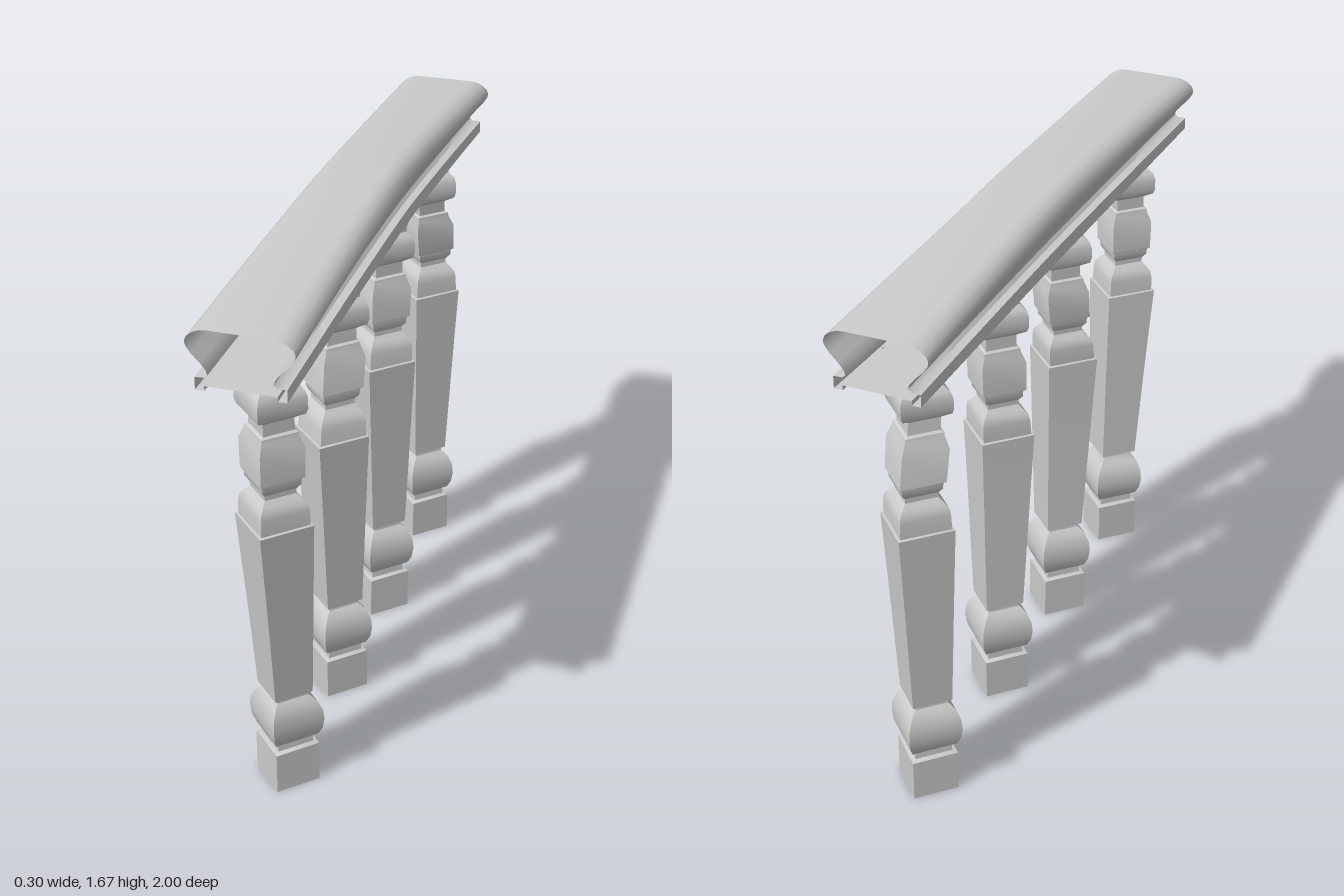
import * as THREE from 'three';
import { toCreasedNormals } from 'three/addons/utils/BufferGeometryUtils.js';

const material = new THREE.MeshStandardMaterial({ color: 0xcccccc, side: THREE.DoubleSide });

// Baluster outline, [radius, height] from foot to capital
const balusterProfile = [
  [0, 0], [0.1, 0], [0.1, 0.135], [0.082, 0.14], [0.08, 0.16],
  [0.098, 0.17], [0.112, 0.195], [0.118, 0.23], [0.114, 0.265], [0.098, 0.297], [0.072, 0.318],
  [0.07, 0.332], [0.086, 0.333], [0.1, 0.62], [0.108, 0.78], [0.117, 0.95],
  [0.107, 0.952], [0.105, 1.0], [0.1, 1.02], [0.085, 1.035], [0.068, 1.05], [0.068, 1.065],
  [0.083, 1.08], [0.085, 1.1], [0.095, 1.105], [0.097, 1.2], [0.08, 1.235], [0.078, 1.245],
  [0.067, 1.25], [0.067, 1.288], [0.08, 1.295], [0.1, 1.305], [0.106, 1.32], [0.106, 1.355],
  [0.098, 1.375], [0.078, 1.39], [0.078, 1.405], [0.088, 1.43], [0.1, 1.455], [0.1, 1.468],
];

// Lean of each baluster, [height, z] along its centre line
const leans = [
  [[0, 0.705], [0.25, 0.705], [0.33, 0.717], [0.62, 0.742], [0.95, 0.775], [1.1, 0.78]],
  [[0, 0.214], [0.33, 0.22], [0.95, 0.255], [1.05, 0.244], [1.12, 0.24], [1.2, 0.225], [1.3, 0.22]],
  [[0, -0.262], [0.33, -0.267], [0.95, -0.25], [1.05, -0.257], [1.25, -0.265]],
  [[0, -0.786], [0.33, -0.786], [0.95, -0.8], [1.1, -0.803], [1.2, -0.782], [1.3, -0.767], [1.45, -0.776]],
];

function leanAt(path, y) {
  for (let i = 1; i < path.length; i++) {
    const [y0, z0] = path[i - 1], [y1, z1] = path[i];
    if (y <= y1) return z0 + ((z1 - z0) * (y - y0)) / (y1 - y0);
  }
  return path[path.length - 1][1];
}

// Four-sided turned post with its corners on the axes, bent along its lean
function makeBaluster(path) {
  const points = balusterProfile.map(([r, y]) => new THREE.Vector2(r, y));
  const geometry = new THREE.LatheGeometry(points, 4);
  const pos = geometry.attributes.position;
  for (let i = 0; i < pos.count; i++) pos.setZ(i, pos.getZ(i) + leanAt(path, pos.getY(i)));
  return new THREE.Mesh(toCreasedNormals(geometry, 0.6), material);
}

// Right half of the handrail section at its ends, from underside to top
const railHalf = [
  [0.1, 0.014], [0.1, 0], [0.126, 0], [0.126, 0.037], [0.1, 0.038], [0.09, 0.046],
  [0.094, 0.06], [0.11, 0.08], [0.135, 0.105], [0.148, 0.125], [0.15, 0.138],
  [0.144, 0.152], [0.128, 0.165], [0.108, 0.173], [0.085, 0.175],
];

// Hollow handrail, taller and narrower towards the middle, open at both ends
function makeHandrail() {
  const section = [...railHalf, ...railHalf.map(([x, y]) => [-x, y]).reverse()];
  const n = section.length, steps = 20;
  const positions = [], indices = [];
  const bow = (z, peak) => 1 - Math.pow(Math.abs(z - peak) / (z > peak ? 1 - peak : 1 + peak), 1.4);
  for (let s = 0; s <= steps; s++) {
    const z = -1 + (2 * s) / steps;
    const rise = 1 + 0.23 * bow(z, -0.05);
    const waist = bow(z, -0.2);
    for (const [x, y] of section) {
      positions.push(x * (1 - 0.11 * waist) - 0.009 * waist, 1.455 + y * rise, z);
    }
  }
  for (let s = 0; s < steps; s++) {
    for (let i = 0; i < n; i++) {
      const a = s * n + i, b = s * n + ((i + 1) % n);
      indices.push(a, b, a + n, b, b + n, a + n);
    }
  }
  const geometry = new THREE.BufferGeometry();
  geometry.setAttribute('position', new THREE.Float32BufferAttribute(positions, 3));
  geometry.setIndex(indices);
  return new THREE.Mesh(toCreasedNormals(geometry, 0.7), material);
}

export function createModel() {
  const model = new THREE.Group();
  model.name = 'balustrade';
  leans.forEach((path, i) => {
    const baluster = makeBaluster(path);
    baluster.name = `baluster${i + 1}`;
    model.add(baluster);
  });
  const handrail = makeHandrail();
  handrail.name = 'handrail';
  model.add(handrail);
  return model;
}
